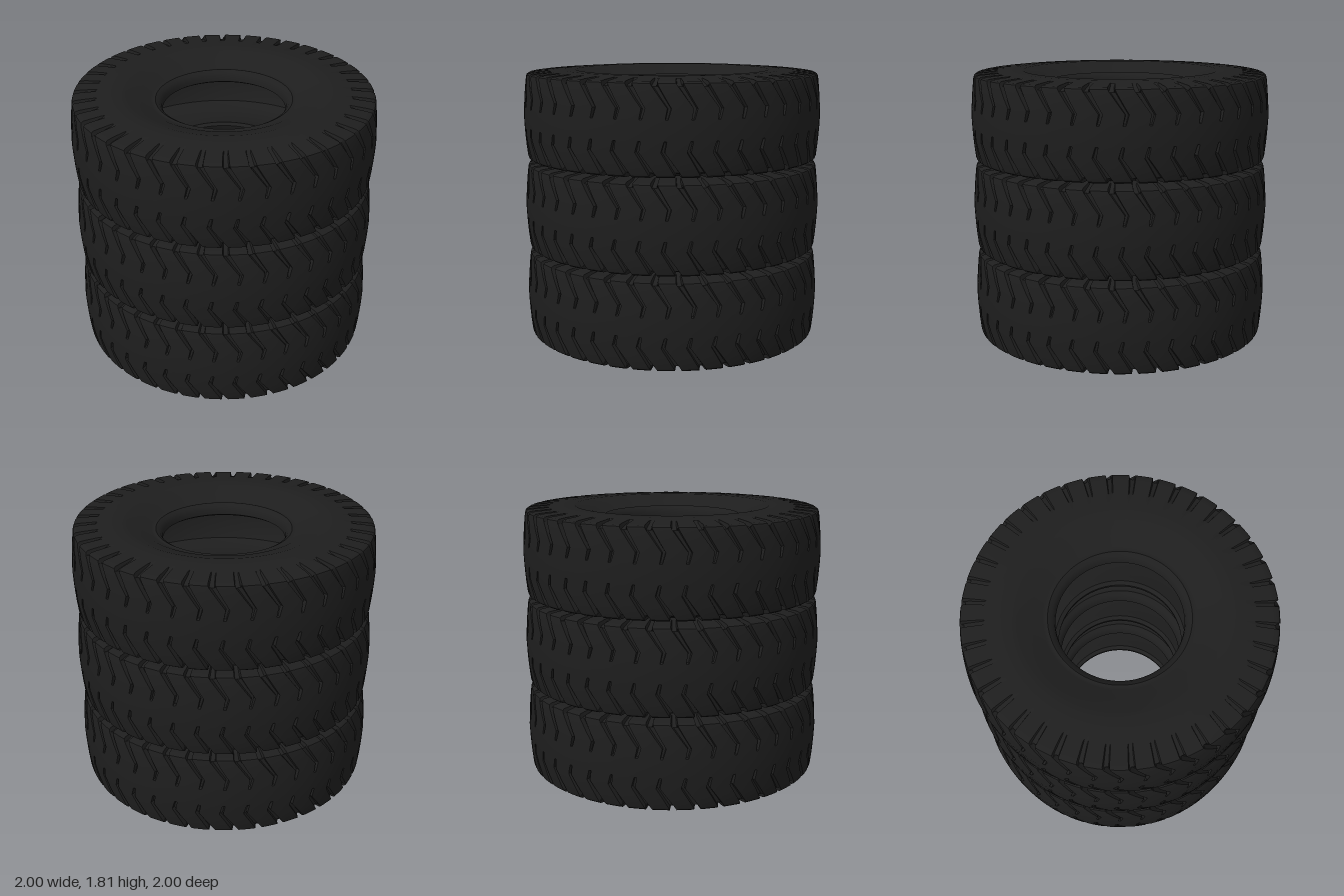
import * as THREE from 'three';
import { toCreasedNormals } from 'three/addons/utils/BufferGeometryUtils.js';

const PITCHES = 40;      // tread blocks around one tyre
const HEIGHT = 0.603;    // spacing of the stack

// Upper half of the outer skin, bead to tread centre:
// [radius, y, groove angle offset, groove half width (angle), groove depth]
const OUTER = [
  [0.4, 0.17, -0.076, 0.02, 0],
  [0.404, 0.2, -0.076, 0.02, 0],
  [0.42, 0.225, -0.076, 0.02, 0],
  [0.445, 0.24, -0.076, 0.02, 0],
  [0.458, 0.236, -0.076, 0.02, 0],
  [0.475, 0.24, -0.076, 0.02, 0],
  [0.54, 0.272, -0.076, 0.02, 0],
  [0.635, 0.297, -0.076, 0.02, 0],
  [0.65, 0.302, -0.076, 0.02, 0],
  [0.73, 0.302, -0.076, 0.02, 0],
  [0.82, 0.296, -0.076, 0.018, 0],
  [0.84, 0.2945, -0.076, 0.019, 0.012],
  [0.93, 0.288, -0.076, 0.021, 0.024],
  [0.962, 0.284, -0.076, 0.022, 0.03],
  [0.975, 0.275, -0.074, 0.022, 0.032],
  [0.98, 0.26, -0.066, 0.021, 0.032],
  [0.988, 0.19, -0.02, 0.016, 0.03],
  [0.993, 0.13, 0.02, 0.012, 0.028],
  [0.997, 0.07, 0.005, 0.009, 0.022],
  [0.9972, 0.063, 0.005, 0.009, 0],
  [1, 0, 0, 0.01, 0],
];

// Lower half of the hollow inside, bead to crown
const INNER = [
  [0.425, -0.155, 0, 0.02, 0],
  [0.47, -0.17, 0, 0.02, 0],
  [0.6, -0.22, 0, 0.02, 0],
  [0.8, -0.23, 0, 0.02, 0],
  [0.87, -0.2, 0, 0.02, 0],
  [0.9, -0.13, 0, 0.02, 0],
  [0.91, 0, 0, 0.02, 0],
];

// Half turn about the facing axis: y and the groove angle both change sign
const mirrored = (rows) =>
  rows.slice(0, -1).reverse().map(([r, y, off, w, d]) => [r, -y, -off, w, d]);

function tyreGeometry() {
  const rows = [...OUTER, ...mirrored(OUTER), ...INNER, ...mirrored(INNER)];
  const n = rows.length;
  const cols = PITCHES * 6;
  const positions = [];
  const index = [];

  rows.forEach(([r, y, off, w, depth], j) => {
    // Outward direction of the profile, along which grooves are sunk
    const prev = rows[(j + n - 1) % n];
    const next = rows[(j + 1) % n];
    const normal = new THREE.Vector2(prev[1] - next[1], next[0] - prev[0]).normalize();
    const across = [-0.05, -w, -0.7 * w, 0.7 * w, w, 0.05];

    for (let i = 0; i < cols; i++) {
      const k = i % 6;
      const angle = (Math.floor(i / 6) * Math.PI * 2) / PITCHES + off + across[k];
      const sink = k === 2 || k === 3 ? depth : 0;
      const radius = r - normal.x * sink;
      positions.push(Math.sin(angle) * radius, y - normal.y * sink, Math.cos(angle) * radius);

      const i2 = (i + 1) % cols;
      const j2 = (j + 1) % n;
      const a = j * cols + i, b = j * cols + i2;
      const c = j2 * cols + i, d = j2 * cols + i2;
      index.push(a, c, b, b, c, d);
    }
  });

  const geometry = new THREE.BufferGeometry();
  geometry.setAttribute('position', new THREE.Float32BufferAttribute(positions, 3));
  geometry.setIndex(index);
  return toCreasedNormals(geometry, 0.6);
}

export function createModel() {
  const model = new THREE.Group();
  model.name = 'tyreStack';
  const rubber = new THREE.MeshStandardMaterial({ color: 0x1e1e1e });
  const geometry = tyreGeometry();

  // Three identical tyres, one on top of the other
  ['bottomTyre', 'middleTyre', 'topTyre'].forEach((name, i) => {
    const tyre = new THREE.Mesh(geometry, rubber);
    tyre.name = name;
    tyre.position.y = HEIGHT * (i + 0.5);
    model.add(tyre);
  });
  return model;
}
